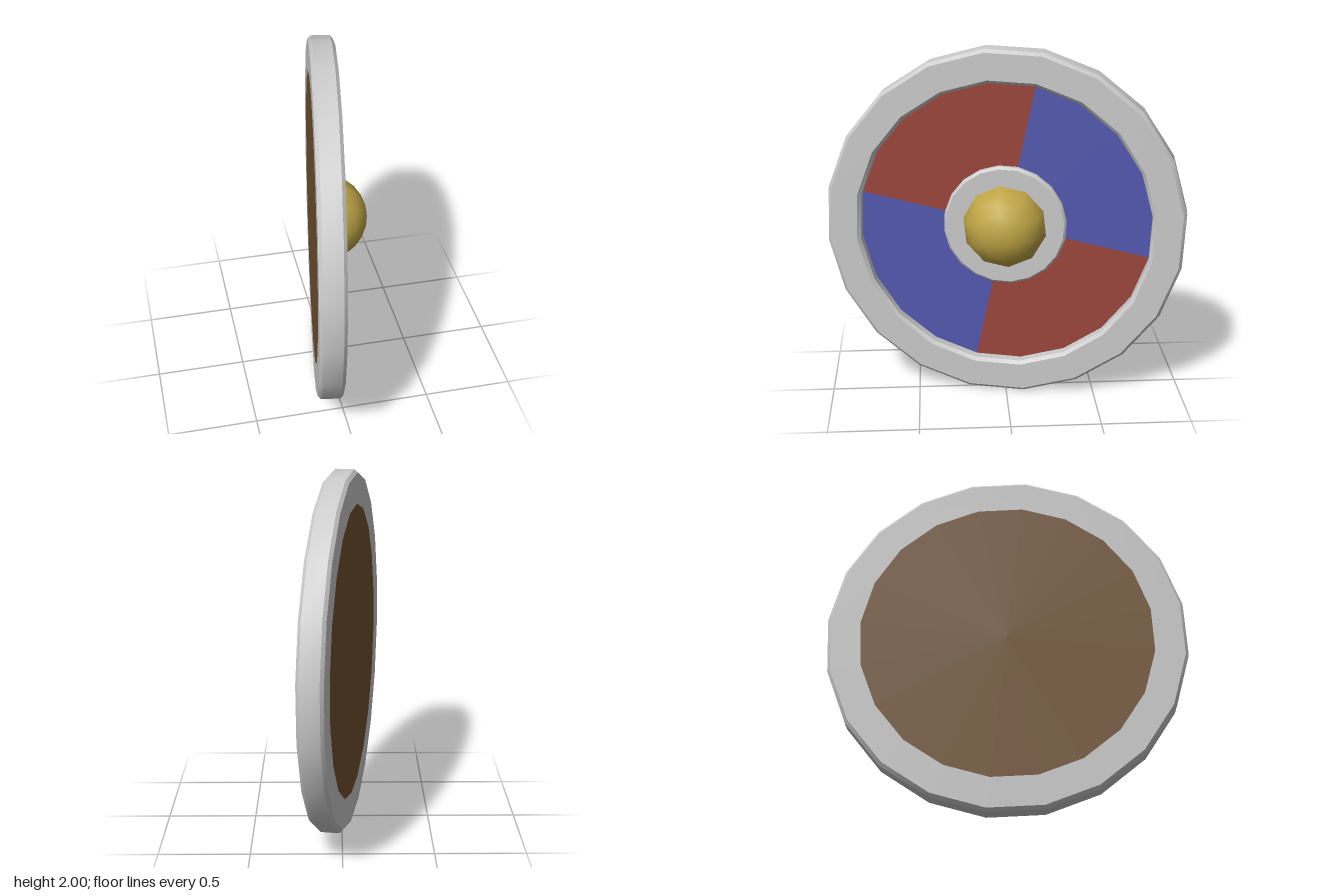
import * as THREE from 'three';
import { toCreasedNormals } from 'three/addons/utils/BufferGeometryUtils.js';

const SIDES = 20;
const START = THREE.MathUtils.degToRad(6.3); // roll of the shield about its axis
const STEP = (Math.PI * 2) / SIDES;

const GREY = 0xcccccc, RED = 0x9c463c, BLUE = 0x5459b0, GOLD = 0xbfa545, BROWN = 0x72522f;

// Turned part from [radius, height] points, with crisp bevels
function turned(name, points, color, sides = SIDES, start = START, length = Math.PI * 2, crease = 0.5) {
  const profile = points.map(([r, h]) => new THREE.Vector2(r, h));
  const geometry = toCreasedNormals(new THREE.LatheGeometry(profile, sides, start, length), crease);
  const mesh = new THREE.Mesh(geometry, new THREE.MeshStandardMaterial({ color }));
  mesh.name = name;
  return mesh;
}

export function createModel() {
  const shield = new THREE.Group();
  shield.name = 'shieldBody';

  // Bevelled outer rim
  const R = 1.006, r = 0.82, h = 0.07, b = 0.018;
  shield.add(turned('rim', [
    [r, -h], [R - b, -h], [R, -h + b], [R, h - b], [R - b, h],
    [r + b, h], [r, h - b], [r, -h],
  ], GREY));

  // Four painted quarters, recessed behind the rim
  for (let i = 0; i < 4; i++) {
    const start = START - 6 * STEP + (i * Math.PI) / 2;
    shield.add(turned('panel' + (i + 1), [[r, 0], [0, 0]], i % 2 ? BLUE : RED, SIDES / 4, start, Math.PI / 2));
  }

  // Wooden back, flush with the rim
  shield.add(turned('backBoard', [[0, -h], [r, -h]], BROWN));

  // Bevelled plate around the boss
  shield.add(turned('bossPlate', [[0.345, 0], [0.345, 0.022], [0.332, 0.035], [0, 0.035]], GREY));

  // Smooth domed boss
  const dome = [];
  for (let i = 0; i <= 6; i++) {
    const a = (i / 6) * Math.PI / 2;
    dome.push([0.24 * Math.cos(a), 0.24 * Math.sin(a)]);
  }
  shield.add(turned('boss', dome, GOLD, SIDES / 2, START - STEP, Math.PI * 2, 1.2));

  // Stand it upright, facing the left side and turned slightly forward
  shield.rotation.z = -Math.PI / 2;
  const model = new THREE.Group();
  model.name = 'roundShield';
  const turn = new THREE.Group();
  turn.name = 'turnedShield';
  turn.rotation.y = THREE.MathUtils.degToRad(-9.5);
  turn.position.y = 1;
  turn.add(shield);
  model.add(turn);
  return model;
}
